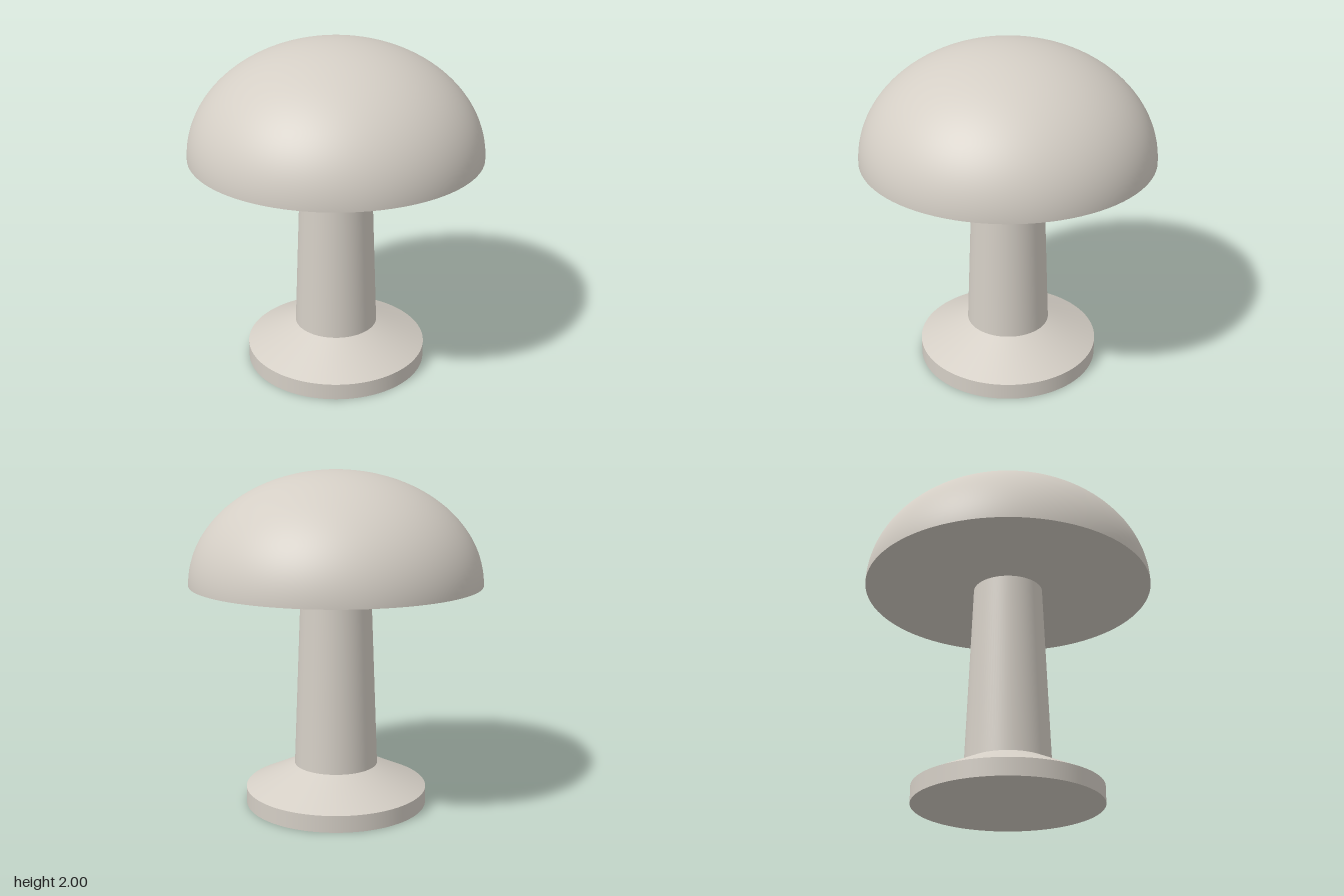
import * as THREE from 'three';

const SEGMENTS = 96;

export function createModel() {
  const group = new THREE.Group();
  group.name = 'mushroomLamp';
  const stone = new THREE.MeshStandardMaterial({ color: 0xd4cec5 });
  stone.name = 'warm grey';

  const add = (name, geometry, y) => {
    const mesh = new THREE.Mesh(geometry, stone);
    mesh.name = name;
    mesh.position.y = y;
    group.add(mesh);
  };
  // Tapered round section standing on y
  const section = (name, top, bottom, y, height, open) =>
    add(name, new THREE.CylinderGeometry(top, bottom, height, SEGMENTS, 1, open), y + height / 2);

  // Foot: flat disc with a sloping shoulder
  section('baseDisc', 0.545, 0.545, 0, 0.1, false);
  section('baseShoulder', 0.25, 0.545, 0.1, 0.14, true);

  // Slightly tapered stem
  section('stem', 0.207, 0.25, 0.24, 1.1, true);

  // Shade: flattened hemisphere closed by a flat underside
  const dome = new THREE.SphereGeometry(1, SEGMENTS, 32, 0, Math.PI * 2, 0, Math.PI / 2);
  dome.scale(0.862, 0.66, 0.862);
  add('shadeDome', dome, 1.34);
  const underside = new THREE.CircleGeometry(0.862, SEGMENTS);
  underside.rotateX(Math.PI / 2);
  add('shadeUnderside', underside, 1.34);

  return group;
}
